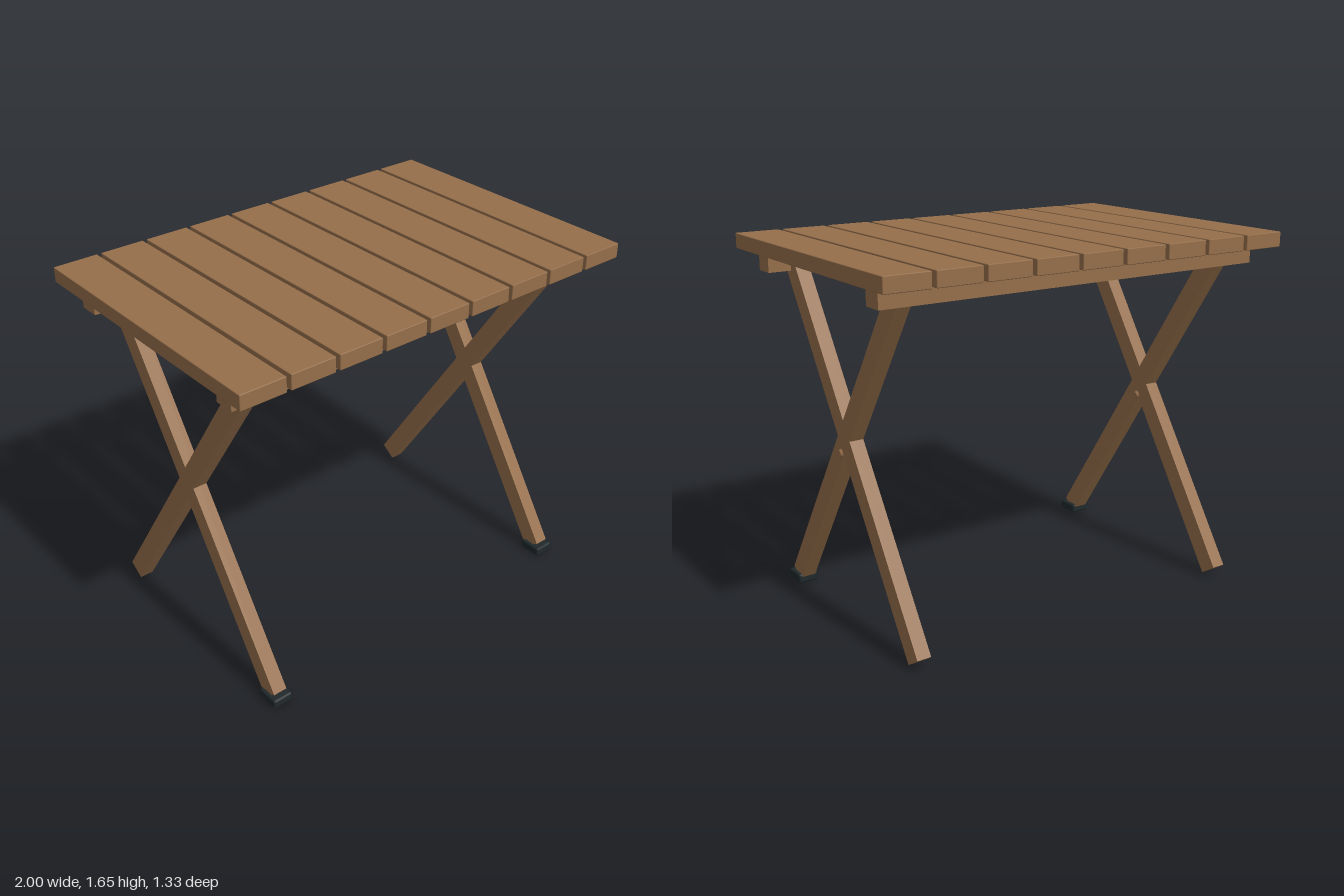
import * as THREE from 'three';
import { RoundedBoxGeometry } from 'three/addons/geometries/RoundedBoxGeometry.js';

export function createModel() {
  const table = new THREE.Group();
  table.name = 'foldingTable';

  const wood = new THREE.MeshStandardMaterial({ color: 0x966f4b });
  wood.name = 'wood';
  const rubber = new THREE.MeshStandardMaterial({ color: 0x20292b });
  rubber.name = 'rubber';

  function add(name, geometry, material, x, y, z) {
    const mesh = new THREE.Mesh(geometry, material);
    mesh.name = name;
    mesh.position.set(x, y, z);
    table.add(mesh);
    return mesh;
  }

  // Table top: nine planks with narrow gaps
  const count = 9, plankWidth = 0.205;
  const pitch = (2 - plankWidth) / (count - 1);
  const plank = new RoundedBoxGeometry(plankWidth, 0.068, 1.33, 1, 0.004);
  for (let i = 0; i < count; i++) {
    add('plank', plank, wood, (i - (count - 1) / 2) * pitch, 1.612, 0);
  }

  // Long rails under the planks, each with a small catch plate on its inner side
  const rail = new THREE.BoxGeometry(1.9, 0.083, 0.093);
  const catchPlate = new THREE.BoxGeometry(0.11, 0.009, 0.07);
  for (const s of [-1, 1]) {
    add('rail', rail, wood, 0, 1.5365, s * 0.4875);
    add('catchPlate', catchPlate, wood, 0, 1.555, s * 0.41);
  }

  // Crossed legs: each runs from a low end to a high end on the opposite side
  const low = new THREE.Vector2(0.541, 0.035);
  const high = new THREE.Vector2(-0.457, 1.53);
  const span = high.clone().sub(low);
  const mid = low.clone().add(high).multiplyScalar(0.5);
  const lean = Math.atan2(span.x, span.y);
  const leg = new THREE.BoxGeometry(0.065, span.length(), 0.088);

  // Feet and shallow domed pivot caps
  const foot = new RoundedBoxGeometry(0.096, 0.045, 0.11, 1, 0.01);
  const cap = new THREE.CylinderGeometry(0.012, 0.02, 0.009, 16);
  cap.rotateZ(-Math.PI / 2);

  for (const side of [-1, 1]) {
    const x = side * 0.8125;
    for (const s of [-1, 1]) {
      add('leg', leg, wood, x, mid.y, s * mid.x).rotation.x = s * lean;
    }
    add('foot', foot, rubber, x, 0.0225, 0.545);
    add('pivotCap', cap, wood, x + 0.051, 0.783, 0);
  }

  return table;
}
